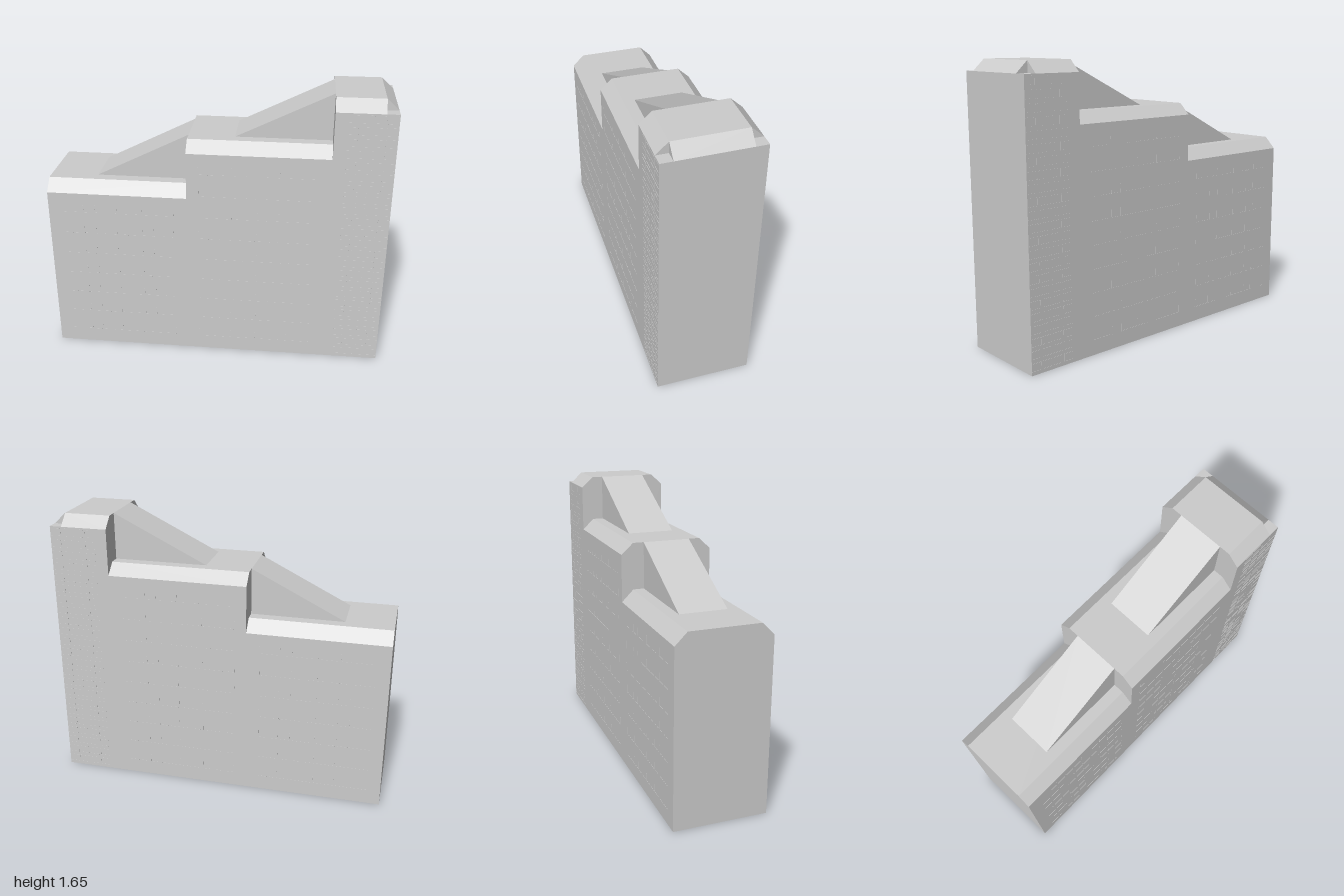
import * as THREE from 'three';
import { mergeGeometries } from 'three/addons/utils/BufferGeometryUtils.js';

const D = 0.275;   // half depth at the walls
const R = 0.205;   // half depth of the flat roof
const W = 0.14;    // half depth of the roof ramps
const HIP = 0.93;  // where the tower's end bevel starts
const T = 0.003;   // thickness of window trim

// The three stepped blocks: x range, eave height, roof height
const blocks = [
  { name: 'lowBlock', x0: -1, x1: -0.17, eave: 1.035, top: 1.105 },
  { name: 'middleBlock', x0: -0.17, x1: 0.655, eave: 1.315, top: 1.38 },
  { name: 'tower', x0: 0.655, x1: 1, eave: 1.59, top: 1.655 },
];

const material = new THREE.MeshStandardMaterial({
  color: 0xcccccc, flatShading: true, side: THREE.DoubleSide,
});

// Collects flat polygons, fanned from their first corner and turned outward
class Shell {
  constructor() { this.pos = []; }

  face(out, ...corners) {
    const p = corners.map((c) => new THREE.Vector3(...c));
    const o = new THREE.Vector3(...out);
    for (let i = 1; i < p.length - 1; i++) {
      const n = p[i].clone().sub(p[0]).cross(p[i + 1].clone().sub(p[0]));
      const tri = n.dot(o) < 0 ? [p[0], p[i + 1], p[i]] : [p[0], p[i], p[i + 1]];
      tri.forEach((v) => this.pos.push(v.x, v.y, v.z));
    }
  }

  mesh(name) {
    const g = new THREE.BufferGeometry();
    g.setAttribute('position', new THREE.Float32BufferAttribute(this.pos, 3));
    g.computeVertexNormals();
    const m = new THREE.Mesh(g, material);
    m.name = name;
    return m;
  }
}

function buildBlock(b, i) {
  const s = new Shell();
  const { x0, x1, eave, top } = b;
  const tower = i === 2;
  const xr = tower ? HIP : x1;

  // Flat roof, long walls and bevelled eaves
  s.face([0, 1, 0], [x0, top, R], [xr, top, R], [xr, top, -R], [x0, top, -R]);
  for (const k of [1, -1]) {
    s.face([0, 0, k], [x0, 0, k * D], [x1, 0, k * D], [x1, eave, k * D], [x0, eave, k * D]);
    s.face([0, 1, k], [x0, eave, k * D], [xr, eave, k * D], [xr, top, k * R], [x0, top, k * R]);
  }

  // End wall facing -x: the full gable, or only the step above the lower block
  if (i === 0) {
    s.face([-1, 0, 0], [x0, 0, D], [x0, eave, D], [x0, top, R],
      [x0, top, -R], [x0, eave, -D], [x0, 0, -D]);
  } else {
    const low = blocks[i - 1];
    for (const k of [1, -1]) {
      s.face([-1, 0, 0], [x0, low.top, k * R], [x0, low.eave, k * D], [x0, eave, k * D],
        [x0, top, k * R], [x0, top, k * W], [x0, low.top, k * W]);
    }
  }

  // Tower end wall, end bevel and notched roof corners
  if (tower) {
    s.face([1, 0, 0], [x1, 0, D], [x1, 0, -D], [x1, eave, -D], [x1, eave, D]);
    s.face([1, 1, 0], [x1, eave, R], [x1, eave, -R], [xr, top, -R], [xr, top, R]);
    for (const k of [1, -1]) {
      s.face([0, 1, 0], [xr, eave, k * R], [x1, eave, k * R], [x1, eave, k * D], [xr, eave, k * D]);
      s.face([1, 0, 0], [xr, eave, k * R], [xr, eave, k * D], [xr, top, k * R]);
      s.face([0, 0, k], [xr, eave, k * R], [x1, eave, k * R], [xr, top, k * R]);
    }
  }
  return s.mesh(b.name);
}

// Sloping ramp that climbs from one roof to the next
function buildRamp(x0, low, high) {
  const s = new Shell();
  const x1 = high.x0;
  s.face([-1, 1, 0], [x0, low.top, W], [x1, high.top, W], [x1, high.top, -W], [x0, low.top, -W]);
  for (const k of [1, -1]) {
    s.face([0, 0, k], [x0, low.top, k * W], [x1, low.top, k * W], [x1, high.top, k * W]);
  }
  return s.mesh('roofRamp');
}

// Thin bars on a wall; u runs along the wall, v is up
function trim(name, bars, place) {
  const parts = bars.map(([u, v, w, h]) =>
    new THREE.BoxGeometry(w, h, T).translate(u, v, 0));
  const m = new THREE.Mesh(mergeGeometries(parts), material);
  m.name = name;
  place(m);
  return m;
}

// Rows of window sills with upright ticks, optionally with a head bar as well
function windowRows({ start, step, rows, sills, width, ticks, height, head }) {
  const bars = [];
  for (let r = 0; r < rows; r++) {
    const y = start + r * step;
    for (const u of sills) {
      bars.push([u, y, width, T]);
      if (head) bars.push([u, y + height, width, T]);
    }
    for (const u of ticks) bars.push([u, y + height / 2, T, height]);
  }
  return bars;
}

const run = (first, step, n) => Array.from({ length: n }, (_, i) => first + i * step);
const bothSides = (list) => [...list, ...list.map((u) => -u)];

export function createModel() {
  const model = new THREE.Group();
  model.name = 'steppedBuilding';

  blocks.forEach((b, i) => model.add(buildBlock(b, i)));
  model.add(buildRamp(-0.72, blocks[0], blocks[1]));
  model.add(buildRamp(0.1, blocks[1], blocks[2]));

  const floor = { start: 0.09, step: 0.1375, width: 0.055, height: 0.047 };
  const towerFloor = { start: 0.021, step: 0.0688, rows: 23, width: 0.058, height: 0.044, head: true };

  // Windows of the long walls, front and back
  const longWalls = {
    lowWindows: windowRows({ ...floor, rows: 7, sills: run(-0.89, 0.0675, 10),
      ticks: [-0.79, -0.72, -0.59, -0.44, -0.37, -0.25] }),
    middleWindows: windowRows({ ...floor, rows: 9, sills: run(-0.07, 0.069, 10),
      ticks: [-0.1, 0.095, 0.245, 0.37, 0.44] }),
    towerWindows: windowRows({ ...towerFloor, sills: run(0.757, 0.07, 4), ticks: [0.785, 0.935] }),
  };
  for (const [name, bars] of Object.entries(longWalls)) {
    for (const k of [1, -1]) {
      model.add(trim(name, bars, (m) => { m.position.z = k * D; }));
    }
  }

  // Windows of the two end walls
  const endSills = bothSides(run(0.104, 0.069, 3));
  const ends = [
    ['towerEndWindows', 1, windowRows({ ...towerFloor, sills: endSills, ticks: bothSides([0.138, 0.208]) })],
    ['lowEndWindows', -1, windowRows({ ...floor, rows: 7, sills: endSills, ticks: bothSides([0.138, 0.208]) })],
  ];
  for (const [name, x, bars] of ends) {
    model.add(trim(name, bars, (m) => {
      m.position.x = x * (1 - T / 2);
      m.rotation.y = Math.PI / 2;
    }));
  }
  return model;
}
